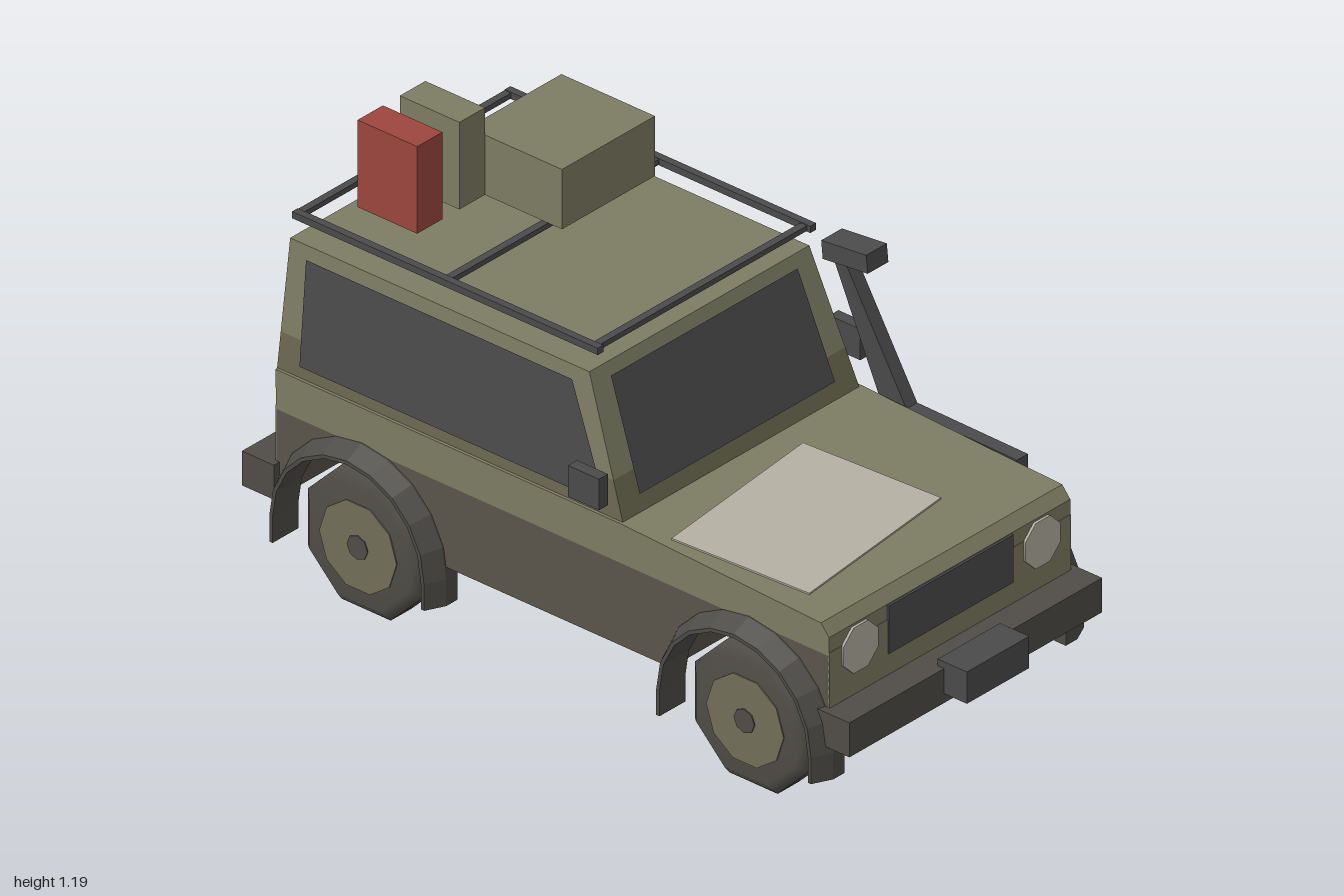
import * as THREE from 'three';

const mat = (name, color) => Object.assign(new THREE.MeshStandardMaterial({ color }), { name });
const olive = mat('olive paint', 0x7d7c62);
const duskOlive = mat('dusty olive', 0x69674f);
const mud = mat('muddy underbody', 0x5a554a);
const dark = mat('dark trim', 0x4b4b4c);
const dirtyTrim = mat('dirty trim', 0x504d47);
const glass = mat('dark glass', 0x4a4a4c);
glass.side = THREE.DoubleSide;
const hubTan = mat('wheel hub tan', 0x726e58);
const pale = mat('pale lamp', 0xb5b0a3);
const red = mat('red', 0x9c463e);

export function createModel() {
  const model = new THREE.Group();
  model.name = 'offRoader';

  const add = (name, geometry, material, parent = model) => {
    const mesh = new THREE.Mesh(geometry, material);
    mesh.name = name;
    parent.add(mesh);
    return mesh;
  };
  // box given by its limits on each axis
  const box = (name, m, [x0, x1], [y0, y1], [z0, z1]) => {
    const b = add(name, new THREE.BoxGeometry(x1 - x0, y1 - y0, z1 - z0), m);
    b.position.set((x0 + x1) / 2, (y0 + y1) / 2, (z0 + z1) / 2);
    return b;
  };
  // side profile in (z, y), extruded across x and centred on x = 0
  const sideExtrude = (shape, width) =>
    new THREE.ExtrudeGeometry(shape, { depth: width, bevelEnabled: false, curveSegments: 10 })
      .translate(0, 0, -width / 2).rotateY(-Math.PI / 2);
  const polygon = (pts) => new THREE.Shape(pts.map(([a, b]) => new THREE.Vector2(a, b)));
  // flat pane from four corners
  const pane = (name, corners) => {
    const g = new THREE.BufferGeometry();
    g.setAttribute('position', new THREE.Float32BufferAttribute(corners.flat(), 3));
    g.setIndex([0, 1, 2, 0, 2, 3]);
    g.computeVertexNormals();
    return add(name, g, glass);
  };

  // lower body with wheel arches cut out
  const AXLES = [0.605, -0.585];
  const lower = new THREE.Shape();
  lower.moveTo(0.85, 0.44);
  lower.lineTo(0.85, 0.22);
  for (const z of AXLES) lower.absarc(z, 0.18, 0.245, 0.164, Math.PI - 0.164, false);
  lower.lineTo(-0.85, 0.22);
  lower.lineTo(-0.85, 0.44);
  add('lowerBody', sideExtrude(lower, 0.84), mud);

  // upper body and bonnet
  add('upperBody', sideExtrude(polygon([
    [0.85, 0.44], [0.85, 0.49], [0.825, 0.52], [0.21, 0.545], [-0.853, 0.545], [-0.85, 0.44],
  ]), 0.84), olive);
  box('frontPanel', olive, [-0.42, 0.42], [0.22, 0.45], [0.846, 0.852]);
  box('rearPanel', olive, [-0.42, 0.42], [0.22, 0.45], [-0.853, -0.846]);

  // cabin surfaces as functions of height
  const t = (y) => (y - 0.54) / 0.345;
  const sideX = (y) => 0.412 - 0.029 * t(y);
  const frontZ = (y) => 0.21 - 0.13 * t(y);
  const rearZ = (y) => -0.855 + 0.015 * t(y);
  const cabinPart = (name, y0, y1, m) => {
    const g = new THREE.BoxGeometry(2, 2, 2);
    const p = g.attributes.position;
    for (let i = 0; i < p.count; i++) {
      const y = p.getY(i) > 0 ? y1 : y0;
      p.setXYZ(i, Math.sign(p.getX(i)) * sideX(y), y, p.getZ(i) > 0 ? frontZ(y) : rearZ(y));
    }
    g.computeVertexNormals();
    add(name, g, m);
  };
  cabinPart('cabinBase', 0.54, 0.64, duskOlive);
  cabinPart('cabin', 0.64, 0.885, olive);

  // windows
  const e = 0.004;
  const zf = (y) => frontZ(y) + e, zr = (y) => rearZ(y) - e;
  pane('windscreen', [[-0.34, 0.585, zf(0.585)], [0.34, 0.585, zf(0.585)],
    [0.325, 0.855, zf(0.855)], [-0.325, 0.855, zf(0.855)]]);
  pane('rearWindow', [[0.285, 0.605, zr(0.605)], [-0.285, 0.605, zr(0.605)],
    [-0.275, 0.82, zr(0.82)], [0.275, 0.82, zr(0.82)]]);
  for (const s of [1, -1]) {
    const c = [[0.155, 0.575], [-0.785, 0.575], [-0.785, 0.85], [0.033, 0.85]]
      .map(([z, y]) => [s * (sideX(y) + e), y, z]);
    pane('sideWindow', s > 0 ? c : c.reverse());
  }

  // nose, lamps and bumpers
  box('grille', dark, [-0.218, 0.216], [0.36, 0.488], [0.85, 0.856]);
  for (const s of [1, -1]) {
    const lamp = add('headlight', new THREE.CylinderGeometry(0.066, 0.066, 0.008, 8, 1, false, Math.PI / 8), pale);
    lamp.rotation.x = Math.PI / 2;
    lamp.position.set(s * 0.317, 0.423, 0.853);
    box('tailLight', red, [s * 0.355 - 0.024, s * 0.355 + 0.024], [0.34, 0.45], [-0.858, -0.85]);
    box('mirror', dark, [s * 0.455 - 0.016, s * 0.455 + 0.016], [0.595, 0.678], [0.092, 0.187]);
  }
  box('frontBumper', dirtyTrim, [-0.44, 0.44], [0.21, 0.302], [0.83, 0.93]);
  box('rearBumper', dirtyTrim, [-0.44, 0.44], [0.21, 0.302], [-0.938, -0.84]);
  box('winch', dark, [-0.11, 0.107], [0.235, 0.32], [0.91, 1.0]);

  // pale sheet lying skewed on the bonnet
  const sheet = add('bonnetSheet', new THREE.BoxGeometry(0.527, 0.006, 0.389), pale);
  sheet.position.set(-0.107, 0.5345, 0.503);
  sheet.rotation.set(0.04, 0.11, 0);

  // eight-sided wheel with its axis along y
  const tyreGeo = new THREE.LatheGeometry([
    [0, -0.063], [0.165, -0.063], [0.195, -0.036], [0.195, 0.036], [0.165, 0.063], [0, 0.063],
  ].map(([r, y]) => new THREE.Vector2(r, y)), 8, Math.PI / 8);
  const wheel = (name, tyreMat, hubMat) => {
    const g = new THREE.Group();
    g.name = name;
    add('tyre', tyreGeo, tyreMat, g);
    add('hub', new THREE.CylinderGeometry(0.119, 0.119, 0.132, 10), hubMat, g);
    add('hubCap', new THREE.CylinderGeometry(0.032, 0.032, 0.138, 8), tyreMat, g);
    model.add(g);
    return g;
  };

  // flared arch: cross-section (x, radius) swept up one leg, over the wheel and down
  const section = [[0.385, 0.228], [0.385, 0.262], [0.425, 0.262], [0.475, 0.238], [0.475, 0.228]];
  const flareGeo = () => {
    const pos = [], N = 10, put = (x, r, k) => {
      const a = Math.PI * Math.min(Math.max(k - 1, 0), N) / N;
      const leg = k === 0 || k === N + 2;
      pos.push(x, leg ? 0.12 : 0.19 + r * Math.sin(a), r * Math.cos(a));
    };
    for (let k = 0; k < N + 2; k++) {
      section.forEach(([x0, r0], i) => {
        const [x1, r1] = section[(i + 1) % section.length];
        put(x0, r0, k); put(x0, r0, k + 1); put(x1, r1, k + 1);
        put(x0, r0, k); put(x1, r1, k + 1); put(x1, r1, k);
      });
    }
    const g = new THREE.BufferGeometry();
    g.setAttribute('position', new THREE.Float32BufferAttribute(pos, 3));
    g.computeVertexNormals();
    return g;
  };
  const flareMat = mat('arch trim', 0x4d4b47);
  flareMat.side = THREE.DoubleSide;
  const flare = flareGeo();
  for (const z of AXLES) {
    for (const s of [1, -1]) {
      const w = wheel(z > 0 ? 'frontWheel' : 'rearWheel', dirtyTrim, hubTan);
      w.rotation.z = Math.PI / 2;
      w.position.set(s * 0.37, 0.18, z);
      const f = add('wheelArch', flare, flareMat);
      f.position.z = z;
      f.rotation.y = s > 0 ? 0 : Math.PI;
    }
  }
  const spare = wheel('spareWheel', dark, olive);
  spare.rotation.x = Math.PI / 2;
  spare.position.set(0.03, 0.507, -0.934);
  spare.scale.setScalar(0.96);

  // snorkel: side profile leaning inwards as it rises along the pillar
  const snorkel = sideExtrude(polygon([
    [0.68, 0.445], [0.68, 0.525], [0.34, 0.53], [0.168, 0.88], [0.132, 0.88], [0.295, 0.445],
  ]), 0.038);
  const sp = snorkel.attributes.position;
  for (let i = 0; i < sp.count; i++) {
    const lean = Math.max(0, (sp.getY(i) - 0.525) / 0.355);
    sp.setX(i, sp.getX(i) + 0.446 - 0.026 * lean);
  }
  snorkel.computeVertexNormals();
  add('snorkel', snorkel, dark);
  const head = box('snorkelHead', dark, [0.378, 0.45], [0.876, 0.924], [0.123, 0.262]);
  head.rotation.x = -0.1;

  // roof rack
  for (const x of [-0.372, 0.368]) box('rackRail', dark, [x - 0.01, x + 0.01], [0.939, 0.957], [-0.835, 0.105]);
  for (const z of [-0.825, -0.37, 0.085]) box('rackBar', dark, [-0.38, 0.376], [0.941, 0.955], [z - 0.01, z + 0.01]);

  // roof load
  box('redCan', red, [-0.267, -0.179], [0.957, 1.19], [-0.735, -0.552]);
  box('greenCan', olive, [-0.12, -0.031], [0.957, 1.19], [-0.735, -0.552]);
  box('cargoBox', olive, [-0.031, 0.293], [0.957, 1.117], [-0.603, -0.315]);

  return model;
}
